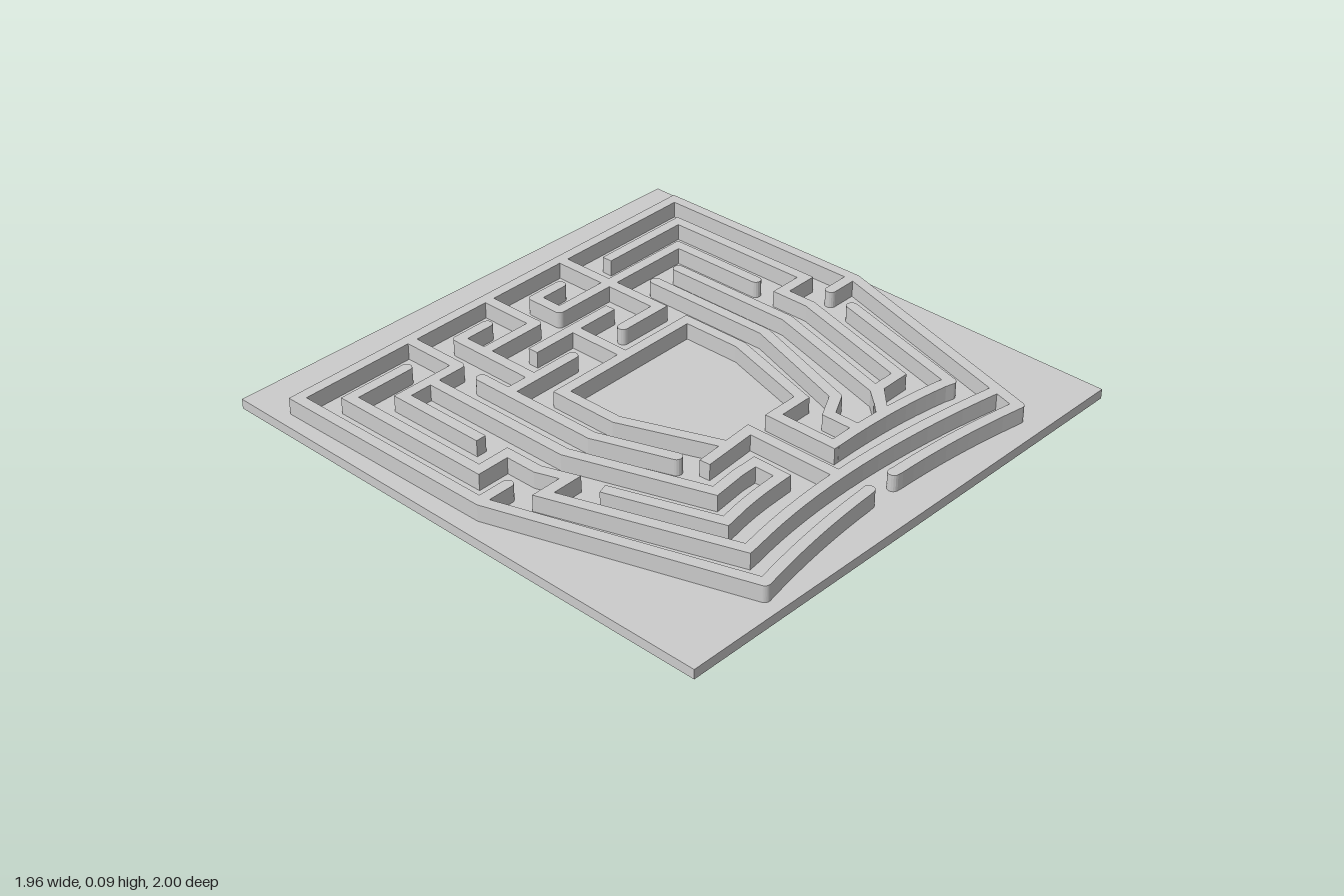
import * as THREE from 'three';

const HALF = 0.0195;   // half the wall thickness
const FLOOR = 0.035;   // top of the base plate
const TOP = 0.095;     // top of the walls
const R = true;        // marks a rounded end or a rounded outer corner

const material = new THREE.MeshStandardMaterial({ color: 0xcccccc });

// Extrude an outline given as [x, z] points from y = bottom to y = top
function slab(name, outline, bottom, top) {
  const shape = new THREE.Shape(outline.map(([x, z]) => new THREE.Vector2(x, -z)));
  const geo = new THREE.ExtrudeGeometry(shape, { depth: top - bottom, bevelEnabled: false });
  geo.rotateX(-Math.PI / 2).translate(0, bottom, 0);
  const mesh = new THREE.Mesh(geo, material);
  mesh.name = name;
  return mesh;
}

// Points on a gentle bow from a to b passing through m
function bow(a, m, b, n = 10) {
  const c = [0, 1].map(k => 2 * m[k] - (a[k] + b[k]) / 2);
  const curve = new THREE.QuadraticBezierCurve(
    new THREE.Vector2(...a), new THREE.Vector2(...c), new THREE.Vector2(...b));
  return curve.getPoints(n).map(p => [p.x, p.y]);
}

// Arc points around p, starting at angle a and sweeping by s
function fan(p, a, s, n = 8) {
  return Array.from({ length: n + 1 }, (_, i) =>
    [p[0] + HALF * Math.cos(a + s * i / n), p[1] + HALF * Math.sin(a + s * i / n)]);
}

// Outline of a constant-width wall along a path, with mitred or rounded corners
function wallOutline(path) {
  const last = path.length - 1;
  const dir = i => Math.atan2(path[i + 1][1] - path[i][1], path[i + 1][0] - path[i][0]);
  const sides = [1, -1].map(side => {
    const pts = [];
    path.forEach((p, i) => {
      const d0 = dir(Math.max(i - 1, 0)), d1 = dir(Math.min(i, last - 1));
      const turn = Math.atan2(Math.sin(d1 - d0), Math.cos(d1 - d0));
      if (p[2] && i > 0 && i < last && turn * side < 0) {
        pts.push(...fan(p, d0 + side * Math.PI / 2, turn));
      } else {
        const a = d0 + turn / 2 + side * Math.PI / 2, r = HALF / Math.cos(turn / 2);
        pts.push([p[0] + r * Math.cos(a), p[1] + r * Math.sin(a)]);
      }
    });
    return pts;
  });
  const cap = (p, a) => (p[2] ? fan(p, a, -Math.PI).slice(1, -1) : []);
  return [
    ...sides[0], ...cap(path[last], dir(last - 1) + Math.PI / 2),
    ...sides[1].reverse(), ...cap(path[0], dir(0) - Math.PI / 2),
  ];
}

// Wall centre lines as [x, z, rounded]
const walls = {
  outerWall: [
    [-0.06, 0.84, R], ...bow([-0.08, 0.842], [-0.33, 0.86], [-0.58, 0.897]), [-0.612, 0.903, R],
    [-0.882, 0.03], [-0.882, -0.80], [0.882, -0.80], [0.882, 0.03],
    [0.612, 0.903, R], ...bow([0.58, 0.897], [0.33, 0.86], [0.08, 0.842]), [0.06, 0.84, R],
  ],
  leftEntryStub: [[0.882, 0.022], [0.765, 0.022, R]],
  rightEntryStub: [[-0.882, 0.022], [-0.765, 0.022, R]],

  // right half of the maze (-x)
  rightLongWall: [
    [-0.53, -0.68, R], [-0.77, -0.68], [-0.77, -0.095], [-0.65, -0.095], [-0.65, 0.035],
    [-0.615, 0.138], [-0.73, 0.138], [-0.525, 0.765],
    ...bow([-0.5, 0.762], [0.03, 0.728], [0.635, 0.80], 16),
  ],
  rightTopWall: [[-0.41, -0.80], [-0.41, -0.565, R], [-0.65, -0.565], [-0.65, -0.21]],
  rightSpiralWall: [
    [-0.53, -0.565], [-0.53, 0.03], [-0.375, 0.507], [-0.26, 0.495], [-0.18, 0.495],
    [-0.18, 0.603], ...bow([-0.22, 0.604], [-0.33, 0.61], [-0.43, 0.624], 4),
    [-0.467, 0.63], [-0.592, 0.25],
  ],
  rightInnerWall: [[-0.41, -0.455, R], [-0.41, 0.03], [-0.318, 0.30, R]],
  rightHook: [[-0.17, -0.68, R], [-0.295, -0.68, R], [-0.295, -0.335]],
  rightHookArm: [[-0.06, -0.80], [-0.06, -0.565, R], [-0.295, -0.565]],
  rightCrossWall: [[-0.41, -0.335], [-0.12, -0.335, R]],

  // left half of the maze (+x)
  leftLongWall: [
    [0.405, -0.68], [0.77, -0.68], [0.77, -0.095], [0.645, -0.095], [0.645, 0.03],
    [0.503, 0.515], [0.395, 0.515], [0.295, 0.61],
  ],
  leftTopWall: [[0.295, -0.80], [0.295, -0.335], [0.12, -0.335, R]],
  leftTopArm: [[0.295, -0.565], [0.645, -0.565], [0.645, -0.21, R]],
  leftHook: [[0.175, -0.68, R], [0.055, -0.68, R], [0.055, -0.565, R], [0.295, -0.565]],
  leftSlimWall: [[0.525, -0.455, R], [0.525, 0.03], [0.38, 0.52], [0.33, 0.575]],
  leftInnerWall: [[0.41, -0.455, R], [0.41, 0.03], [0.267, 0.447], [0.175, 0.495], [0.175, 0.615]],
  leftSweepWall: [
    [0.732, 0.14, R], [0.58, 0.662, R], ...bow([0.55, 0.653], [0.33, 0.622], [0.1, 0.612]), [0.055, 0.612],
  ],

  // central room and the walls attached to it
  roomWall: [
    [-0.06, 0.735], [-0.06, 0.368], [-0.165, 0.375], [-0.295, 0.025], [-0.295, -0.21],
    [0.295, -0.21], [0.295, 0.025], [0.19, 0.372], [0.055, 0.372], [0.055, 0.631],
  ],
  roomSpur: [[-0.06, 0.37], [-0.285, 0.385]],
  centreStem: [[0, -0.45], [0, -0.21]],
  centreBar: [[-0.185, -0.45], [0.18, -0.45]],
};

export function createModel() {
  const model = new THREE.Group();
  model.name = 'mazePlaque';

  // Slightly turned base plate
  model.add(slab('basePlate', [[-0.95, -1], [0.98, -0.97], [0.945, 1], [-0.98, 0.965]], 0, FLOOR));

  // Maze walls, sunk a little into the plate
  const maze = new THREE.Group();
  maze.name = 'maze';
  for (const [name, path] of Object.entries(walls)) {
    maze.add(slab(name, wallOutline(path), FLOOR - 0.005, TOP));
  }
  model.add(maze);
  return model;
}
